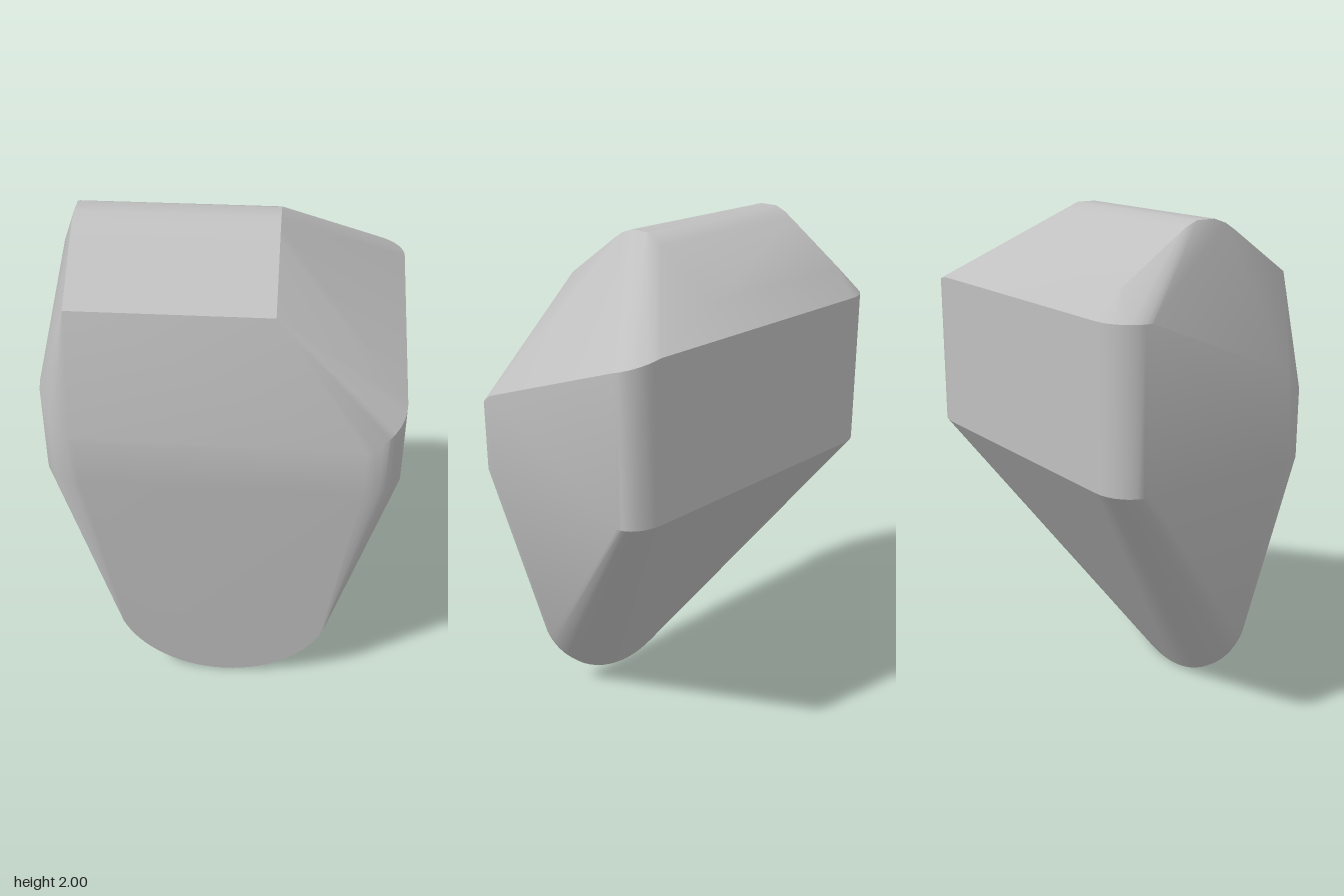
import * as THREE from 'three';
import { ConvexGeometry } from 'three/addons/geometries/ConvexGeometry.js';
import { toCreasedNormals } from 'three/addons/utils/BufferGeometryUtils.js';

const HALF_W = 0.663, HALF_D = 0.442, STEPS = 8;

// Rounded vertical corner, from the side face (t = 0) round to the front or back face (t = 1)
function corner(points, sx, sz, rx, rz, ySide, yFace) {
  for (let i = 0; i <= STEPS; i++) {
    const t = i / STEPS, a = t * Math.PI / 2;
    const x = sx * (HALF_W - rx + rx * Math.cos(a));
    const z = sz * (HALF_D - rz + rz * Math.sin(a));
    points.push(new THREE.Vector3(x, 1.1, z));
    points.push(new THREE.Vector3(x, ySide + (yFace - ySide) * t, z));
  }
}

export function createModel() {
  const grey = new THREE.MeshStandardMaterial({ color: 0xc0c0c0 });
  grey.name = 'light grey';
  const points = [];

  // Middle band with four rounded corners
  corner(points, -1, 1, 0.14, 0.14, 1.45, 1.28);
  corner(points, 1, 1, 0.14, 0.13, 1.42, 1.29);
  corner(points, -1, -1, 0.14, 0.13, 1.7, 1.7);
  corner(points, 1, -1, 0.13, 0.09, 1.66, 1.7);

  // Rounded ridge on top, the same profile [z, y] at both ends
  const ridge = [[0.372, 1.79], [0.135, 1.955], [0.09, 1.983], [0.04, 2],
    [-0.037, 2], [-0.08, 1.982], [-0.11, 1.963], [-0.354, 1.8]];
  for (const x of [-0.54, 0.187]) {
    for (const [z, y] of ridge) points.push(new THREE.Vector3(x, y, z));
  }

  // Thin rounded tip at the bottom, lying in the sloping front face
  for (let i = 0; i <= 28; i++) {
    const a = THREE.MathUtils.degToRad(-20 - 5 * i);
    const x = 0.44 * Math.cos(a), y = 0.44 + 0.44 * Math.sin(a);
    const z = 0.325 + 0.105 * y;
    points.push(new THREE.Vector3(x, y, z), new THREE.Vector3(x, y, z - 0.025));
  }

  const stone = new THREE.Mesh(toCreasedNormals(new ConvexGeometry(points), 0.45), grey);
  stone.name = 'taperedStone';
  stone.rotation.y = THREE.MathUtils.degToRad(-5);

  const model = new THREE.Group();
  model.name = 'stone';
  model.add(stone);
  return model;
}
